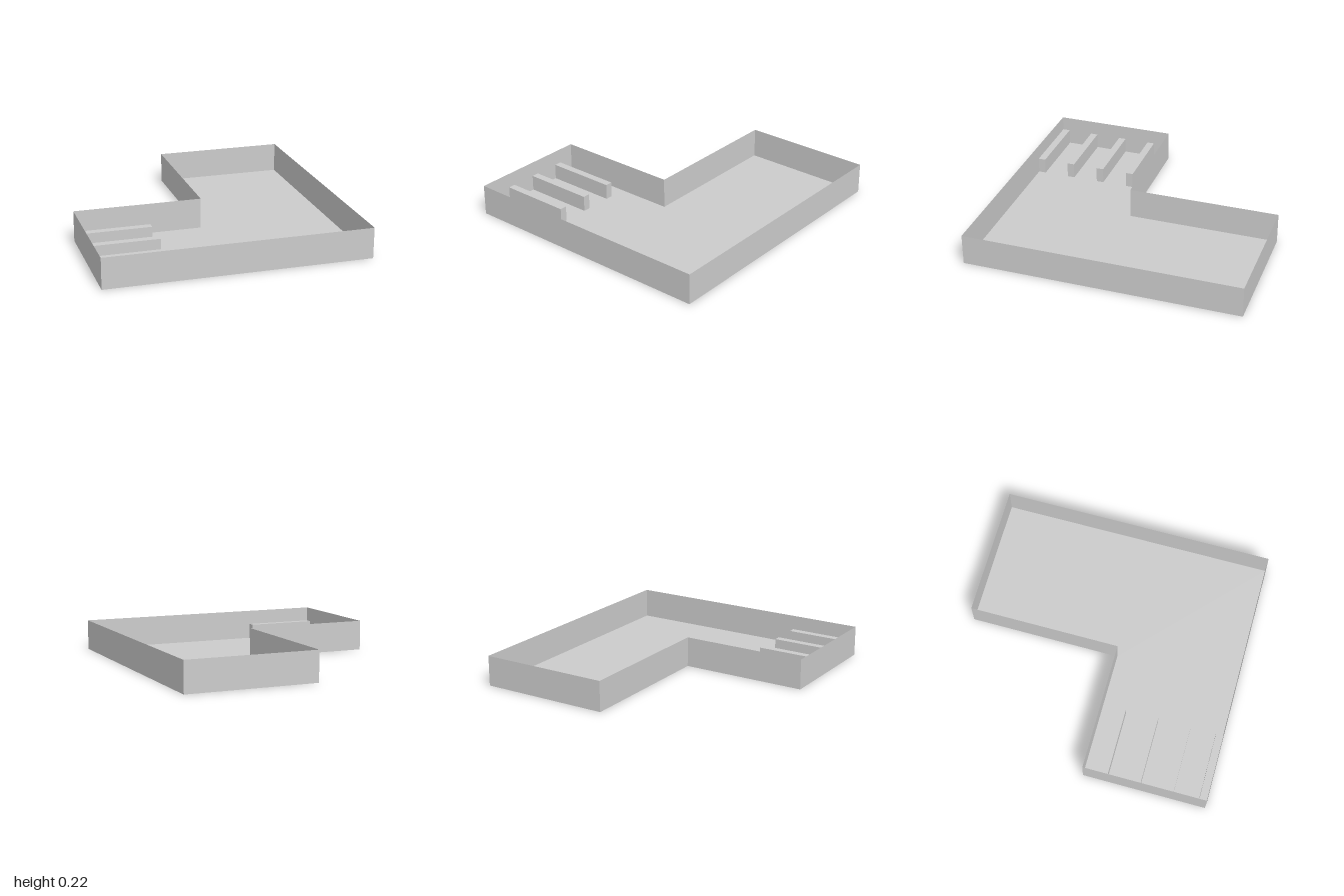
import * as THREE from 'three';

const WALL_HEIGHT = 0.222;
const SHELF_HEIGHT = 0.114;

// L-shaped floor plan as [x, z] corners
const PLAN = [
  [-0.945, 1], [0.945, 1], [0.945, -1],
  [-0.015, -1], [-0.015, 0.105], [-0.945, 0.105],
];

export function createModel() {
  const model = new THREE.Group();
  model.name = 'room';
  const sheet = new THREE.MeshStandardMaterial({ color: 0xcccccc, flatShading: true, side: THREE.DoubleSide });
  const solid = new THREE.MeshStandardMaterial({ color: 0xcccccc, flatShading: true });

  const add = (name, geometry, material) => {
    const mesh = new THREE.Mesh(geometry, material);
    mesh.name = name;
    model.add(mesh);
    return mesh;
  };

  // Floor: thin L-shaped sheet, facing up
  const outline = new THREE.Shape(PLAN.map(([x, z]) => new THREE.Vector2(x, -z)));
  add('floor', new THREE.ShapeGeometry(outline).rotateX(-Math.PI / 2), sheet);

  // Walls: one thin upright sheet along each edge of the plan
  PLAN.forEach(([x0, z0], i) => {
    const [x1, z1] = PLAN[(i + 1) % PLAN.length];
    const length = Math.hypot(x1 - x0, z1 - z0);
    const wall = add(`wall${i + 1}`, new THREE.PlaneGeometry(length, WALL_HEIGHT), sheet);
    wall.position.set((x0 + x1) / 2, WALL_HEIGHT / 2, (z0 + z1) / 2);
    wall.rotation.y = -Math.atan2(z1 - z0, x1 - x0);
  });

  // Shelves: four low, evenly spaced blocks reaching in from the right wall
  const depth = 0.054, start = -0.945, end = -0.422;
  for (let i = 0; i < 4; i++) {
    const shelf = add(`shelf${i + 1}`, new THREE.BoxGeometry(end - start, SHELF_HEIGHT, depth), solid);
    shelf.position.set((start + end) / 2, SHELF_HEIGHT / 2, 0.254 + i * 0.2395);
  }

  return model;
}
